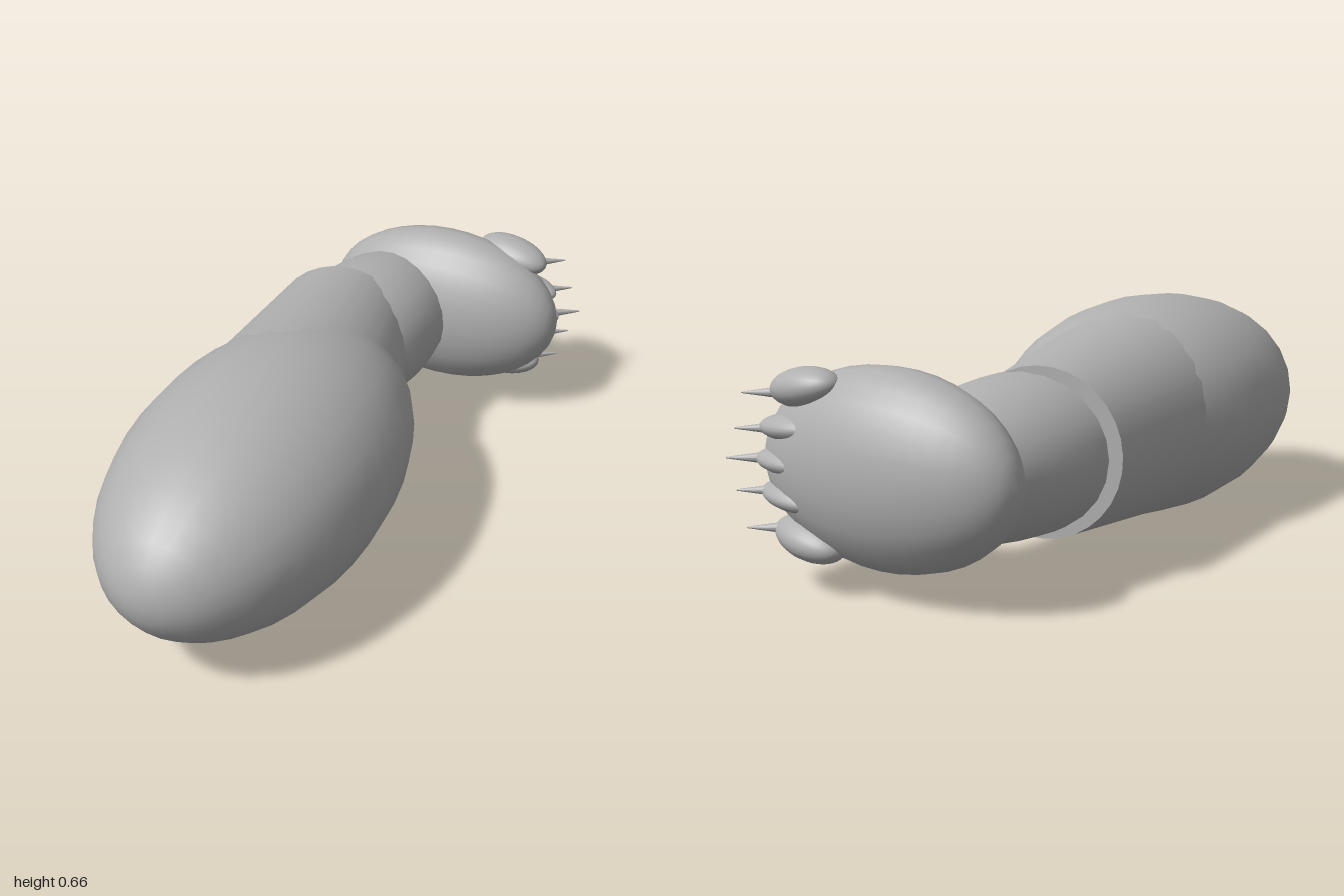
import * as THREE from 'three';

export function createModel() {
  const group = new THREE.Group();
  group.name = 'leg';
  const hide = new THREE.MeshStandardMaterial({ color: 0xb0b0b0 });
  hide.name = 'grey hide';

  function add(name, geometry, parent = group) {
    const mesh = new THREE.Mesh(geometry, hide);
    mesh.name = name;
    parent.add(mesh);
    return mesh;
  }

  // Smooth ellipsoid with its poles along the chosen axis
  function ellipsoid(name, [x, y, z], [rx, ry, rz], poleAxis, parent) {
    const g = new THREE.SphereGeometry(1, 24, 20);
    if (poleAxis === 'z') g.rotateX(Math.PI / 2);
    else g.rotateZ(-Math.PI / 2);
    g.scale(rx, ry, rz);
    const mesh = add(name, g, parent);
    mesh.position.set(x, y, z);
    return mesh;
  }

  // Cylinder or cone running between two points
  function limb(name, from, to, r0, r1, sides, parent) {
    const a = new THREE.Vector3(...from), b = new THREE.Vector3(...to);
    const dir = b.clone().sub(a);
    const mesh = add(name, new THREE.CylinderGeometry(r1, r0, dir.length(), sides), parent);
    mesh.position.copy(a).add(b).multiplyScalar(0.5);
    mesh.quaternion.setFromUnitVectors(new THREE.Vector3(0, 1, 0), dir.normalize());
    return mesh;
  }

  // Upper leg, tapering shin and ankle
  ellipsoid('thigh', [-0.09, 0.33, 0.335], [0.37, 0.33, 0.665], 'z');
  limb('shin', [-0.12, 0.33, 0.1], [-0.21, 0.335, -0.495], 0.303, 0.228, 32);
  ellipsoid('ankle', [-0.157, 0.33, -0.52], [0.238, 0.215, 0.46], 'z').rotation.y = -0.1;

  // Foot
  ellipsoid('foot', [0.02, 0.33, -0.826], [0.398, 0.26, 0.172], 'x').rotation.y = -0.06;

  // Five toes, each with a claw: height offset, toe centre x, half height, claw tip x
  const toes = [[0, 0.29, 0.034, 0.46], [0.09, 0.275, 0.036, 0.427], [0.195, 0.235, 0.052, 0.396]];
  toes.forEach(([dy, x, ry, tip], i) => {
    for (const side of i ? [1, -1] : [1]) {
      const toe = new THREE.Group();
      toe.name = 'toe';
      group.add(toe);
      const pad = ellipsoid('toePad', [x, 0.33 + side * dy, -0.882], [0.122, ry, 0.07], 'x', toe);
      pad.rotation.set(0, -0.25, -side * dy * 0.8);
      const y = 0.33 + side * dy * 0.9;
      limb('claw', [tip - 0.1, y, -0.88], [tip, y, -0.94], 0.018, 0.002, 10, toe);
    }
  });

  return group;
}
